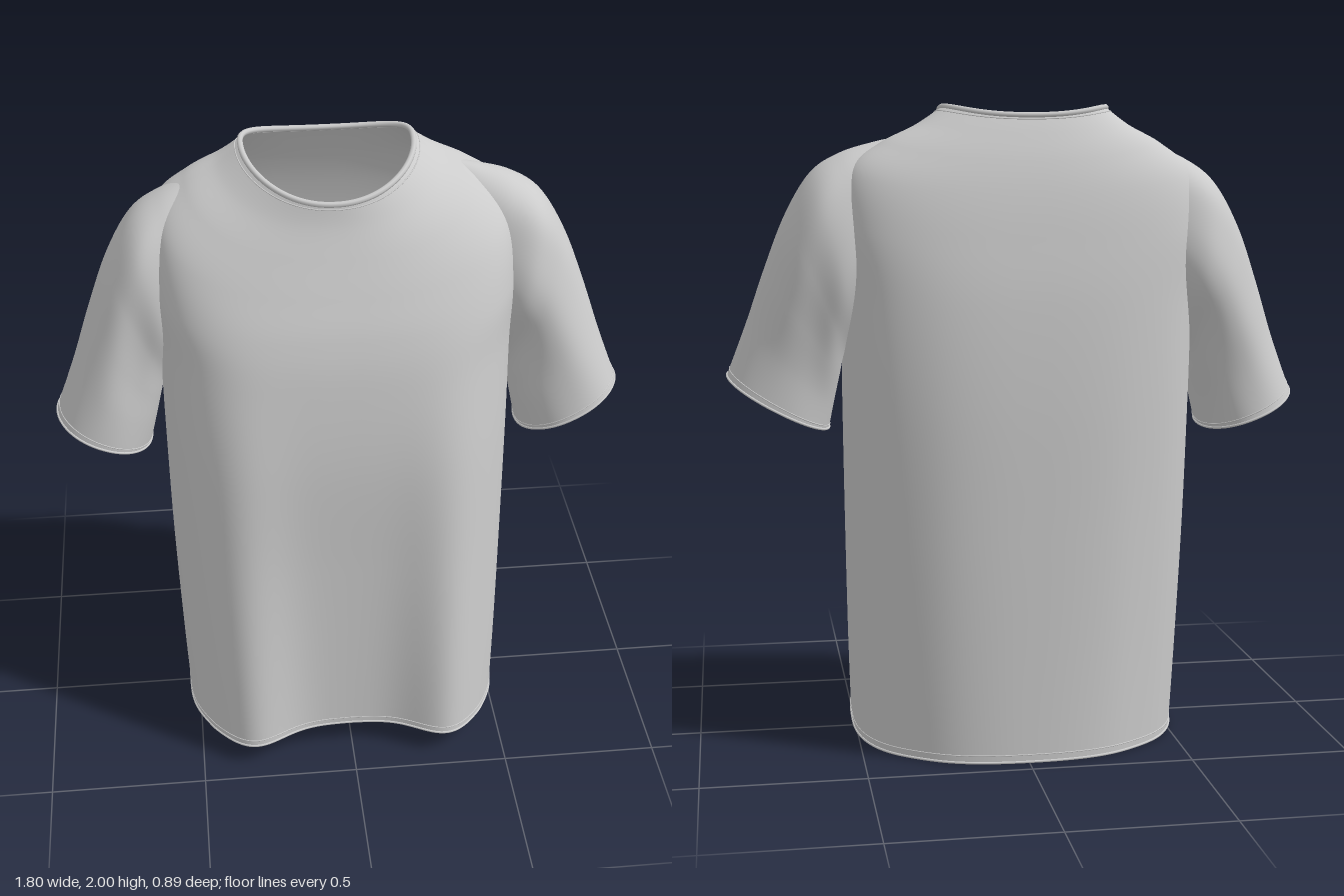
import * as THREE from 'three';

const material = new THREE.MeshStandardMaterial({ color: 0xcccccc, side: THREE.DoubleSide, roughness: 0.9 });

// Smoothly interpolates the rows of a table; v runs 0..1 from first row to last
function sample(rows, v) {
  const n = rows.length - 1;
  const i = Math.min(Math.floor(v * n), n - 1), t = v * n - i;
  const row = k => rows[Math.max(0, Math.min(n, k))];
  return rows[i].map((p1, c) => {
    const p0 = row(i - 1)[c], p2 = row(i + 1)[c], p3 = row(i + 2)[c];
    return p1 + 0.5 * t * (p2 - p0 + t * (2 * p0 - 5 * p1 + 4 * p2 - p3 + t * (3 * (p1 - p2) + p3 - p0)));
  });
}

const power = (s, e) => Math.sign(s) * Math.pow(Math.abs(s), e);
const bell = (x, c, w) => Math.exp(-(((x - c) / w) ** 2));

// Tubular cloth surface, closed around u and open at both ends of v; cut(point) marks cloth to leave out
function loft(name, fn, nu, nv, cut) {
  const points = [], index = [];
  for (let j = 0; j <= nv; j++) {
    for (let i = 0; i < nu; i++) points.push(fn(i / nu, j / nv));
  }
  for (let j = 0; j < nv; j++) {
    for (let i = 0; i < nu; i++) {
      const k = (i + 1) % nu;
      const a = j * nu + i, b = j * nu + k, c = b + nu, d = a + nu;
      if (!cut(points[a])) index.push(a, b, c, a, c, d);
    }
  }
  const geo = new THREE.BufferGeometry().setFromPoints(points);
  geo.setIndex(index);
  geo.computeVertexNormals();
  const mesh = new THREE.Mesh(geo, material);
  mesh.name = name;
  return mesh;
}

// Rolled edge or stitched seam that follows a surface at height v
function seam(name, fn, v, radius) {
  const pts = Array.from({ length: 120 }, (_, i) => fn(i / 120, v));
  const curve = new THREE.CatmullRomCurve3(pts, true);
  const mesh = new THREE.Mesh(new THREE.TubeGeometry(curve, 240, radius, 8, true), material);
  mesh.name = name;
  return mesh;
}

// Body rings, hem to neck: half width, side y, side z, front y, front z, back y, back z,
// front squareness, back squareness, fold depth, centre x
const bodyRings = [
  [0.52, 0.022, 0.00, 0.085, 0.36, 0.005, -0.447, 0.60, 0.84, 0.10, -0.01],
  [0.53, 0.30, -0.01, 0.35, 0.35, 0.30, -0.442, 0.65, 0.80, 0.088, -0.012],
  [0.54, 0.70, -0.03, 0.71, 0.335, 0.70, -0.437, 0.71, 0.75, 0.068, -0.015],
  [0.545, 1.10, -0.06, 1.08, 0.32, 1.10, -0.43, 0.74, 0.70, 0.042, -0.015],
  [0.547, 1.40, -0.09, 1.35, 0.285, 1.40, -0.41, 0.72, 0.66, 0.018, -0.015],
  [0.56, 1.62, -0.12, 1.50, 0.25, 1.60, -0.38, 0.70, 0.64, 0.006, -0.015],
  [0.535, 1.79, -0.13, 1.62, 0.205, 1.73, -0.353, 0.74, 0.68, 0, -0.015],
  [0.44, 1.875, -0.13, 1.73, 0.16, 1.83, -0.322, 0.80, 0.76, 0, -0.02],
  [0.335, 1.93, -0.13, 1.82, 0.125, 1.912, -0.286, 0.88, 0.82, 0, -0.025],
  [0.258, 1.985, -0.13, 1.888, 0.108, 1.965, -0.258, 0.95, 0.85, 0, -0.03],
];

function bodySurface(u, v) {
  const [w, ys, zs, yf, zf, yb, zb, pf, pb, fold, cx] = sample(bodyRings, v);
  const a = u * Math.PI * 2, s = Math.sin(a), c = Math.cos(a);
  const front = c >= 0, p = front ? pf : pb;
  const k = power(s, p), d = power(c, p), h = Math.abs(c);
  // Two draped lobes at the front, two shallow vertical folds at the back
  const drape = front
    ? bell(Math.abs(k), 0.64, 0.27) * Math.min(1, h * 1.6)
    : 0.1 * bell(Math.abs(k), 0.7, 0.16) * h;
  const z = zs + (front ? zf - zs : zs - zb) * d + fold * drape;
  const y = ys + (yf - yb) / 2 * d + ((yf + yb) / 2 - ys) * d * d;
  return new THREE.Vector3(cx + w * k, y, z);
}

// Openings in the body where the sleeves join
const armhole = p => Math.abs(p.x) > 0.45 && Math.hypot((p.y - 1.56) / 0.2, (p.z + 0.11) / 0.12) < 1;

// Sleeve rings, cuff to shoulder: outer x, outer y, inner x, inner y, centre z, half depth
const sleeveRings = [
  [0.888, 1.17, 0.575, 1.005, -0.05, 0.178],
  [0.825, 1.335, 0.558, 1.09, -0.06, 0.172],
  [0.768, 1.50, 0.542, 1.17, -0.08, 0.172],
  [0.703, 1.665, 0.525, 1.25, -0.10, 0.178],
  [0.625, 1.793, 0.49, 1.32, -0.11, 0.185],
  [0.535, 1.853, 0.43, 1.42, -0.12, 0.15],
  [0.43, 1.886, 0.37, 1.50, -0.125, 0.10],
  [0.34, 1.905, 0.32, 1.60, -0.13, 0.05],
];

const sleeveSurface = side => (u, v) => {
  const [ox, oy, ix, iy, cz, d] = sample(sleeveRings, v);
  const a = u * Math.PI * 2;
  const c = power(Math.cos(a), 0.95), s = power(Math.sin(a), 0.95);
  // The right sleeve hangs slightly lower and further back
  const sag = side < 0 ? 1 - v : 0;
  const crease = 1 + 0.03 * Math.sin(Math.PI * v) * Math.sin(5 * a + 7 * v);
  const dz = -side * s * (d + sag * 0.022) * crease;
  const x = (ox + ix) / 2 + (ox - ix) / 2 * c + sag * (0.022 - 0.01 * c);
  const y = (oy + iy) / 2 + (oy - iy) / 2 * c - sag * (0.035 + 0.022 * c) + 0.1 * dz * (1 - v);
  return new THREE.Vector3(side * x, y, cz - sag * 0.045 + dz);
};

// Sleeve cloth that would run on inside the body
const insideBody = p => Math.abs(p.x) < 0.47 && p.y < 1.74;

export function createModel() {
  const shirt = new THREE.Group();
  shirt.name = 'shirt';

  // Body with hem and collar
  shirt.add(
    loft('body', bodySurface, 180, 120, armhole),
    seam('hemEdge', bodySurface, 0, 0.004),
    seam('hemStitch', bodySurface, 0.014, 0.002),
    seam('collar', bodySurface, 1, 0.009),
    seam('collarStitch', bodySurface, 0.965, 0.002),
  );

  // Sleeves with cuffs
  for (const [side, label] of [[1, 'left'], [-1, 'right']]) {
    const surface = sleeveSurface(side);
    const sleeve = new THREE.Group();
    sleeve.name = label + 'Sleeve';
    sleeve.add(
      loft(label + 'SleeveCloth', surface, 96, 70, insideBody),
      seam(label + 'CuffEdge', surface, 0, 0.004),
      seam(label + 'CuffStitch', surface, 0.026, 0.002),
    );
    shirt.add(sleeve);
  }
  return shirt;
}
